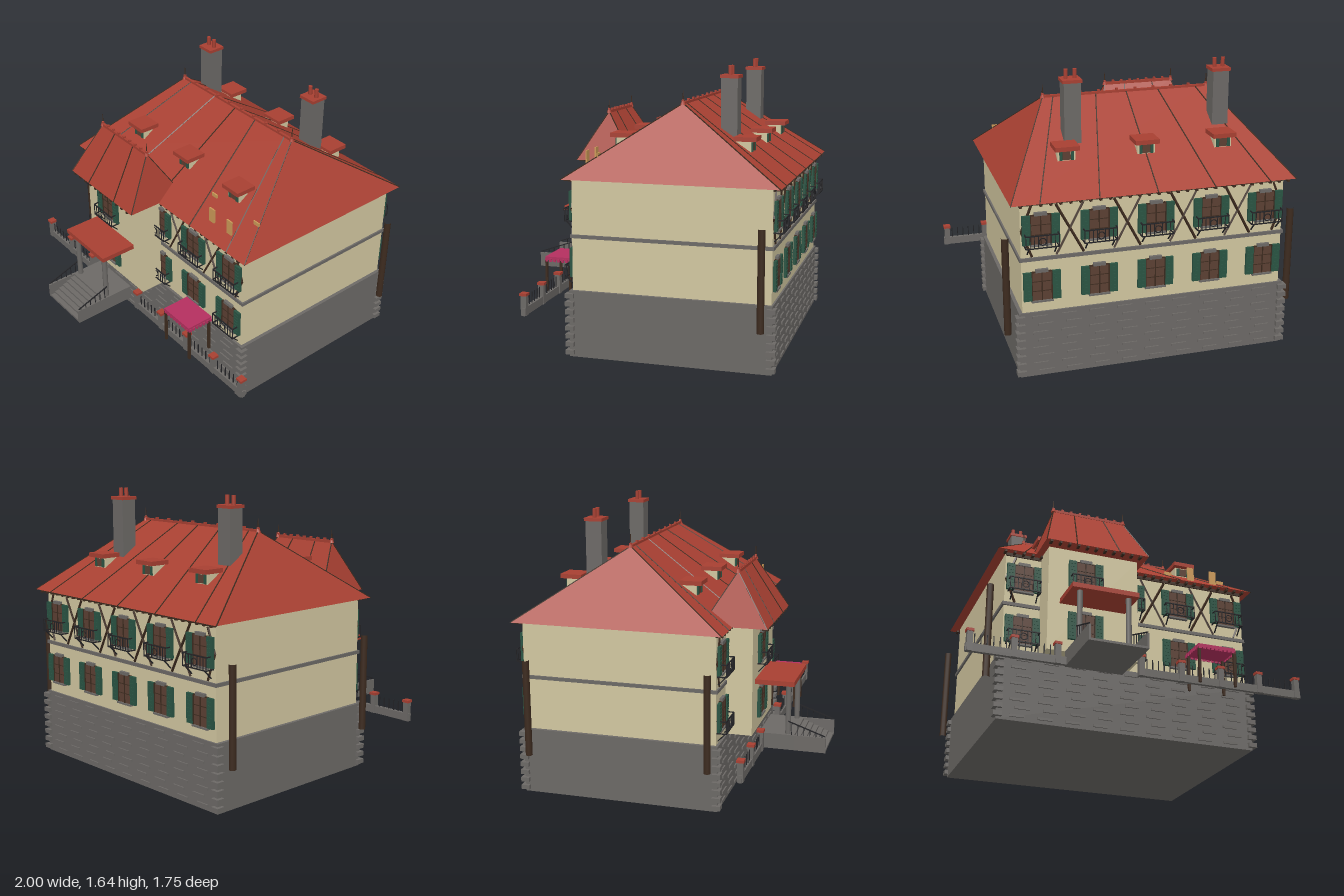
import * as THREE from 'three';

const mat = (name, color) => {
  const m = new THREE.MeshStandardMaterial({ color });
  m.name = name;
  return m;
};
const M = {
  roof: mat('roofRed', 0xa84032), wall: mat('creamPlaster', 0xd2c7a0), stone: mat('greyStone', 0x6c6966),
  green: mat('shutterGreen', 0x2a5443), pane: mat('windowBrown', 0x5c4033), timber: mat('darkTimber', 0x3d2b1f),
  iron: mat('blackIron', 0x232326), awning: mat('awningPink', 0xb5305f), tan: mat('tanHatch', 0xcc9a58),
};
const V = (x, y, z) => new THREE.Vector3(x, y, z);

function add(parent, name, geo, material, x = 0, y = 0, z = 0) {
  const m = new THREE.Mesh(geo, material);
  m.name = name;
  m.position.set(x, y, z);
  parent.add(m);
  return m;
}
// box given by its limits on each axis
function block(p, name, m, x0, x1, y0, y1, z0, z1) {
  return add(p, name, new THREE.BoxGeometry(x1 - x0, y1 - y0, z1 - z0), m, (x0 + x1) / 2, (y0 + y1) / 2, (z0 + z1) / 2);
}
// square bar between two points
function bar(p, name, m, a, b, t) {
  const d = b.clone().sub(a);
  const o = add(p, name, new THREE.BoxGeometry(t, t, d.length()), m);
  o.position.copy(a).add(b).multiplyScalar(0.5);
  o.quaternion.setFromUnitVectors(V(0, 0, 1), d.normalize());
}
function group(parent, name, x = 0, y = 0, z = 0) {
  const g = new THREE.Group();
  g.name = name;
  g.position.set(x, y, z);
  parent.add(g);
  return g;
}

// hipped roof with ridge crest, finials and seams
function hipRoof(parent, name, cx, hx, z0, z1, y0, y1, ridge, seams, teeth) {
  const g = group(parent, name, cx);
  const zr = (z0 + z1) / 2;
  const [a, b, c, d] = [V(-hx, y0, z1), V(hx, y0, z1), V(hx, y0, z0), V(-hx, y0, z0)];
  const [l, r] = [V(-ridge, y1, zr), V(ridge, y1, zr)];
  const tris = [a, b, r, a, r, l, c, d, l, c, l, r, b, c, r, d, a, l, a, d, c, a, c, b];
  const geo = new THREE.BufferGeometry().setFromPoints(tris);
  geo.computeVertexNormals();
  add(g, 'roofShell', geo, M.roof);
  for (const [p, q] of [[a, l], [b, r], [c, r], [d, l]]) bar(g, 'hipLine', M.timber, p, q, 0.005);
  for (const [e, t] of seams)
    for (const z of [z0, z1]) bar(g, 'roofSeam', M.timber, V(e, y0, z), V(t, y1, zr), 0.006);
  bar(g, 'ridgeCap', M.roof, l, r, 0.016);
  for (let i = 0; i <= teeth; i++)
    add(g, 'ridgeTooth', new THREE.BoxGeometry(0.014, 0.022, 0.014), M.roof, -ridge + (2 * ridge * i) / teeth, y1 + 0.008, zr);
  for (const s of [-1, 1]) {
    add(g, 'finialBase', new THREE.ConeGeometry(0.016, 0.04, 8), M.roof, s * ridge, y1 + 0.012, zr);
    add(g, 'finial', new THREE.CylinderGeometry(0.002, 0.005, 0.07, 6), M.timber, s * ridge, y1 + 0.035, zr);
  }
}

// shuttered window, centred on a wall plane facing local +z
function shutteredWindow(parent, x, y, z, back, balcony) {
  const g = group(parent, 'window', x, y, z);
  if (back) g.rotation.y = Math.PI;
  block(g, 'pane', M.pane, -0.055, 0.055, -0.085, 0.08, 0, 0.01);
  block(g, 'lintel', M.stone, -0.035, 0.035, 0.078, 0.096, 0, 0.018);
  block(g, 'sill', M.stone, -0.06, 0.06, -0.095, -0.085, 0, 0.02);
  for (const u of [-0.055, 0, 0.055]) block(g, 'mullion', M.timber, u - 0.003, u + 0.003, -0.085, 0.08, 0, 0.014);
  for (const v of [-0.03, 0.025, 0.08]) block(g, 'muntin', M.timber, -0.055, 0.055, v - 0.002, v + 0.002, 0, 0.013);
  for (const s of [-1, 1]) {
    add(g, 'shutter', new THREE.BoxGeometry(0.045, 0.165, 0.016), M.green, s * 0.08, 0, 0.012);
    for (let i = -3; i <= 3; i++) add(g, 'slat', new THREE.BoxGeometry(0.03, 0.003, 0.004), M.green, s * 0.08, i * 0.021, 0.021);
  }
  if (!balcony) return;
  const b = group(g, 'balcony');
  for (const v of [-0.09, -0.02]) {
    bar(b, 'rail', M.iron, V(-0.09, v, 0.053), V(0.09, v, 0.053), 0.006);
    for (const s of [-1, 1]) bar(b, 'sideRail', M.iron, V(s * 0.09, v, 0), V(s * 0.09, v, 0.053), 0.006);
  }
  for (let i = 0; i <= 8; i++) {
    const u = -0.09 + i * 0.0225;
    if (i !== 4) bar(b, 'baluster', M.iron, V(u, -0.09, 0.053), V(u, -0.02, 0.053), 0.004);
  }
  add(b, 'ornament', new THREE.TorusGeometry(0.02, 0.003, 4, 12), M.iron, 0, -0.055, 0.053);
  for (const s of [-1, 1]) bar(b, 'bracket', M.iron, V(s * 0.075, -0.09, 0.05), V(s * 0.075, -0.14, 0.002), 0.006);
}

function timberFrame(parent, z, crosses, halves) {
  const g = group(parent, 'timberFrame');
  for (const x of crosses)
    for (const s of [-1, 1]) bar(g, 'brace', M.timber, V(x - s * 0.075, 0.71, z), V(x + s * 0.075, 0.995, z), 0.011);
  for (const s of halves) {
    bar(g, 'brace', M.timber, V(s * 0.69, 0.995, z), V(s * 0.745, 0.855, z), 0.011);
    bar(g, 'brace', M.timber, V(s * 0.745, 0.855, z), V(s * 0.69, 0.71, z), 0.011);
  }
}
function rafterTails(parent, x0, x1, z) {
  for (let x = x0; x <= x1 + 0.001; x += 0.054) add(parent, 'rafterTail', new THREE.BoxGeometry(0.014, 0.012, 0.036), M.timber, x, 1.012, z);
}

function dormer(parent, x, back) {
  const g = group(parent, 'dormer', x, 0, -0.26);
  if (back) g.rotation.y = Math.PI;
  block(g, 'dormerBody', M.wall, -0.05, 0.05, 1.12, 1.235, 0.2, 0.39);
  block(g, 'dormerCap', M.roof, -0.068, 0.068, 1.23, 1.255, 0.295, 0.422);
  block(g, 'dormerPane', M.pane, -0.022, 0.022, 1.175, 1.222, 0.389, 0.396);
  for (const s of [-1, 1]) add(g, 'dormerShutter', new THREE.BoxGeometry(0.016, 0.05, 0.008), M.green, s * 0.032, 1.198, 0.394);
}

export function createModel() {
  const root = new THREE.Group();
  root.name = 'villa';

  // stone basement with corner quoins and shallow stone courses
  block(root, 'basement', M.stone, -0.77, 0.77, 0, 0.385, -0.835, 0.325);
  for (let i = 0; i < 8; i++)
    for (const x of [-0.765, 0.765])
      for (const z of [-0.83, 0.32]) add(root, 'quoin', new THREE.BoxGeometry(0.05, 0.026, 0.05), M.stone, x, 0.028 + i * 0.047, z);
  for (let r = 0; r < 8; r++)
    for (let c = 0; c < 9; c++)
      for (const z of [-0.837, 0.327])
        add(root, 'stoneCourse', new THREE.BoxGeometry(0.085, 0.014, 0.012), M.stone, -0.655 + c * 0.16 + (r % 2) * 0.03, 0.028 + r * 0.047, z);

  // walls, front wing and belt course
  block(root, 'mainWalls', M.wall, -0.75, 0.75, 0.385, 1.02, -0.825, 0.31);
  block(root, 'frontWing', M.wall, -0.54, 0, 0.385, 1.02, 0.3, 0.465);
  block(root, 'beltCourse', M.stone, -0.76, 0.76, 0.685, 0.705, -0.835, 0.32);
  block(root, 'frontPlate', M.timber, -0.75, 0.75, 1.0, 1.018, 0.305, 0.318);
  block(root, 'backPlate', M.timber, -0.75, 0.75, 1.0, 1.018, -0.833, -0.82);
  timberFrame(root, 0.312, [0.16, 0.48], [-1, 1]);
  timberFrame(root, -0.827, [-0.48, -0.16, 0.16, 0.48], [-1, 1]);

  // windows
  for (const x of [-0.64, -0.32, 0, 0.32, 0.64]) {
    const z = x === -0.32 ? 0.465 : 0.31;
    shutteredWindow(root, x, 0.865, z, false, true);
    shutteredWindow(root, x, 0.54, z, false, Math.abs(x) !== 0.32);
    shutteredWindow(root, x, 0.865, -0.825, true, true);
    shutteredWindow(root, x, 0.54, -0.825, true, false);
  }

  // roofs
  hipRoof(root, 'mainRoof', 0, 0.805, -0.875, 0.355, 1.02, 1.43, 0.49, [[-0.65, -0.42], [-0.327, -0.19], [0, 0], [0.327, 0.18], [0.65, 0.43]], 9);
  hipRoof(root, 'wingRoof', -0.27, 0.31, 0.18, 0.553, 1.02, 1.32, 0.22, [[-0.13, -0.09], [0.13, 0.09]], 8);
  rafterTails(root, -0.76, 0.77, 0.333);
  rafterTails(root, -0.76, 0.77, -0.857);
  rafterTails(root, -0.55, 0.01, 0.536);
  for (const x of [-0.45, 0, 0.45]) for (const back of [false, true]) dormer(root, x, back);
  for (const x of [0.435, 0.585]) block(root, 'roofHatch', M.tan, x - 0.022, x + 0.022, 1.07, 1.16, 0.271, 0.279);
  for (const x of [0.33, 0.69]) block(root, 'smallHatch', M.tan, x - 0.023, x + 0.023, 1.135, 1.163, 0.166, 0.174);

  // chimneys
  for (const [x, z] of [[-0.483, -0.467], [0.39, -0.51]]) {
    const g = group(root, 'chimney', x, 0, z);
    block(g, 'chimneyShaft', M.stone, -0.047, 0.047, 1.15, 1.57, -0.047, 0.047);
    block(g, 'chimneyCap', M.roof, -0.055, 0.055, 1.57, 1.588, -0.053, 0.053);
    for (const s of [-1, 1]) add(g, 'chimneyPot', new THREE.CylinderGeometry(0.012, 0.012, 0.055, 8), M.roof, s * 0.025, 1.612, 0);
  }

  // tall open pipes beside the walls
  for (const [x, z] of [[-0.825, 0.28], [-0.825, -0.78], [0.825, -0.78]])
    add(root, 'cornerPipe', new THREE.CylinderGeometry(0.02, 0.02, 0.565, 10, 1, true), M.timber, x, 0.53, z);

  // porch with columns, steps and handrails
  const porch = group(root, 'porch');
  block(porch, 'porchRoof', M.roof, -0.47, -0.08, 0.672, 0.7, 0.465, 0.69);
  block(porch, 'landing', M.stone, -0.44, -0.105, 0.285, 0.375, 0.485, 0.69);
  for (let i = 0; i < 6; i++) block(porch, 'step', M.stone, -0.43, -0.115, 0.285, 0.362 - i * 0.0128, 0.69 + i * 0.03, 0.72 + i * 0.03);
  for (const x of [-0.435, -0.11]) {
    block(porch, 'stairCheek', M.stone, x - 0.006, x + 0.006, 0.285, 0.375, 0.69, 0.872);
    bar(porch, 'handrail', M.iron, V(x, 0.382, 0.866), V(x, 0.455, 0.655), 0.006);
    for (let i = 0; i < 6; i++) {
      const z = 0.85 - i * 0.035;
      bar(porch, 'baluster', M.iron, V(x, 0.37, z), V(x, 0.382 + (0.866 - z) * 0.346, z), 0.004);
    }
  }
  for (const x of [-0.415, -0.13]) add(porch, 'porchColumn', new THREE.CylinderGeometry(0.016, 0.016, 0.3, 10), M.stone, x, 0.524, 0.65);

  // garden wall with capped piers and iron rods
  const fence = group(root, 'gardenFence');
  for (const [a, b] of [[-1, -0.44], [-0.015, 1]]) {
    block(fence, 'lowWall', M.stone, a, b, 0.285, 0.33, 0.495, 0.517);
    for (let x = a + 0.05; x < b - 0.02; x += 0.035) bar(fence, 'rod', M.iron, V(x, 0.33, 0.506), V(x, 0.392, 0.506), 0.005);
  }
  for (const k of [-4, -3, -2, 0, 1, 2, 3, 4]) {
    const x = k * 0.2445;
    block(fence, 'pier', M.stone, x - 0.016, x + 0.016, 0.285, 0.397, 0.49, 0.522);
    block(fence, 'pierCap', M.roof, x - 0.021, x + 0.021, 0.397, 0.412, 0.485, 0.527);
  }

  // garden awning on four poles with a toothed valance
  const awning = group(root, 'awning');
  block(awning, 'awningTop', M.awning, 0.335, 0.567, 0.5, 0.52, 0.383, 0.553);
  for (const x of [0.342, 0.562])
    for (const z of [0.4, 0.546]) block(awning, 'awningPole', M.timber, x - 0.007, x + 0.007, 0.285, 0.5, z - 0.007, z + 0.007);
  for (let i = 0; i < 9; i++) {
    for (const z of [0.386, 0.551]) add(awning, 'valance', new THREE.BoxGeometry(0.017, 0.014, 0.006), M.awning, 0.347 + i * 0.026, 0.497, z);
    if (i < 7) for (const x of [0.332, 0.57]) add(awning, 'valance', new THREE.BoxGeometry(0.006, 0.018, 0.016), M.awning, x, 0.5, 0.393 + i * 0.025);
  }
  return root;
}
